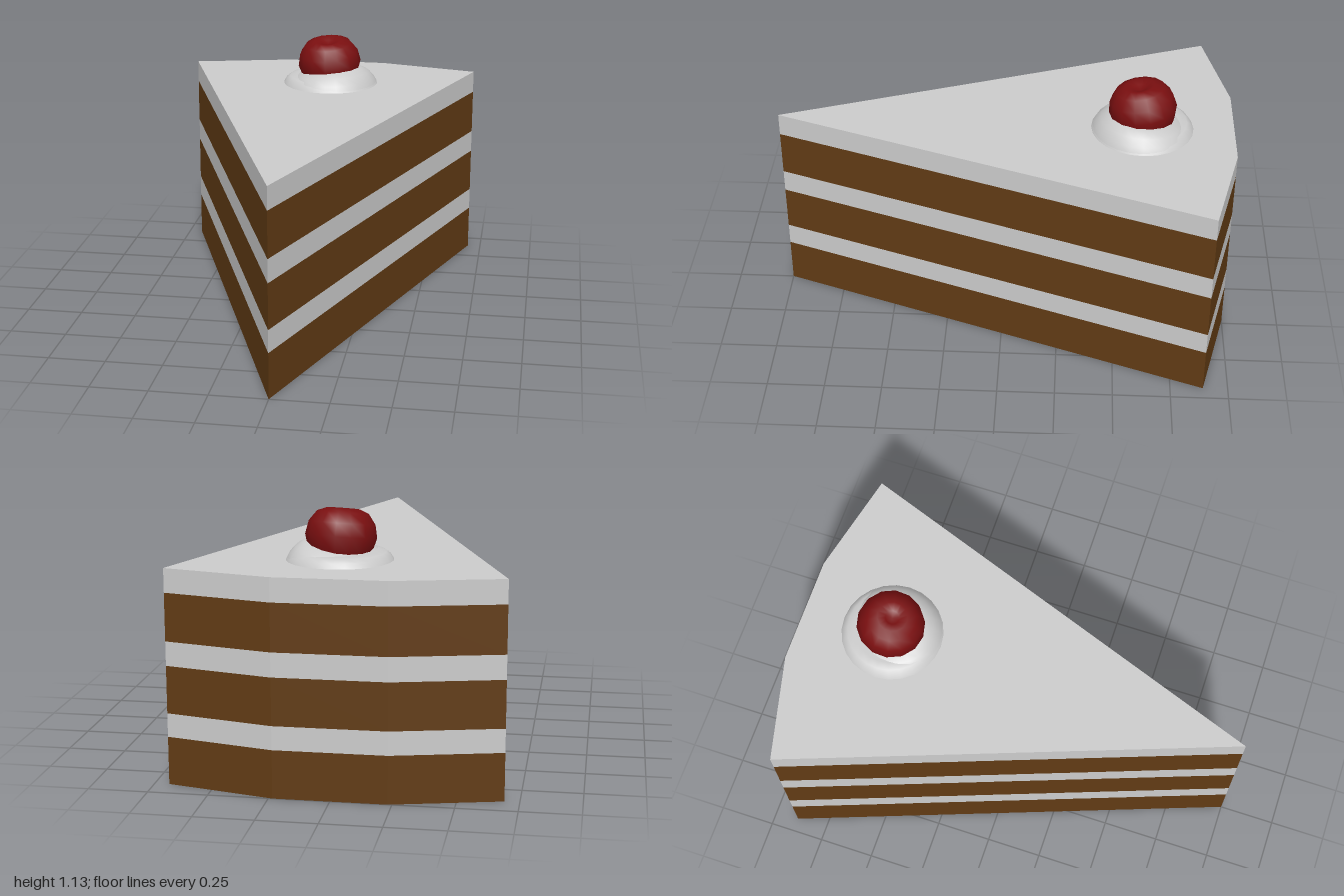
import * as THREE from 'three';
import { mergeVertices } from 'three/addons/utils/BufferGeometryUtils.js';

const material = (color) => new THREE.MeshStandardMaterial({ color });

// Wedge outline: a 40 degree slice with its tip at the front and three flat facets at the back
function wedgeShape() {
  const step = Math.PI * 2 / 27, radius = 2 / Math.cos(step / 2);
  const points = [new THREE.Vector2(0, -1)];
  for (let i = -1.5; i <= 1.5; i++) {
    const a = -i * step;
    points.push(new THREE.Vector2(Math.sin(a) * radius, -1 + Math.cos(a) * radius));
  }
  return new THREE.Shape(points);
}

// Smooth turned solid, optionally reshaped by a rule for each vertex
function turned(profile, segments, rule) {
  const geometry = new THREE.LatheGeometry(profile.map(([r, y]) => new THREE.Vector2(r, y)), segments);
  geometry.deleteAttribute('uv');
  geometry.deleteAttribute('normal');
  const p = geometry.attributes.position;
  const v = new THREE.Vector3();
  for (let i = 0; rule && i < p.count; i++) {
    rule(v.fromBufferAttribute(p, i));
    p.setXYZ(i, v.x, v.y, v.z);
  }
  const welded = mergeVertices(geometry, 1e-4);
  welded.computeVertexNormals();
  return welded;
}

export function createModel() {
  const group = new THREE.Group();
  const sponge = material(0x613b14), cream = material(0xcccccc), red = material(0x7a0f10);
  const add = (name, geometry, mat, x, y, z) => {
    const mesh = new THREE.Mesh(geometry, mat);
    mesh.name = name;
    mesh.position.set(x, y, z);
    group.add(mesh);
    return mesh;
  };

  // Alternating sponge and cream layers
  const shape = wedgeShape();
  const levels = [0, 0.203, 0.303, 0.503, 0.605, 0.806, 0.907];
  for (let i = 0; i < 6; i++) {
    const layer = new THREE.ExtrudeGeometry(shape, { depth: levels[i + 1] - levels[i], bevelEnabled: false });
    layer.rotateX(-Math.PI / 2);
    add(i % 2 ? 'creamLayer' : 'spongeLayer', layer, i % 2 ? cream : sponge, 0, levels[i], 0);
  }

  // Piped cream: a low ring, and a swirl on it that rises and widens towards the front left
  add('creamBase', turned([[0.223, 0], [0.21, 0.022], [0.192, 0.035], [0.16, 0.04], [0, 0.04]], 24),
    cream, 0.023, 0.906, -0.6);
  add('creamSwirl', turned([[0.222, 0], [0.208, 0.026], [0.182, 0.052], [0.15, 0.069], [0.115, 0.075], [0, 0.075]], 24,
    (v) => {
      const r = Math.hypot(v.x, v.z) || 1;
      const lean = (v.x * 0.8 + v.z * 0.6) / r;
      const width = 1 - 0.13 * THREE.MathUtils.smoothstep(-lean, -0.3, 0.8);
      v.set(v.x * width, v.y * (0.9 + 0.28 * lean), v.z * width);
    }), cream, 0.023, 0.906, -0.6);

  // Cherry with a dimpled top, leaning slightly
  const cherry = add('cherry', turned([
    [0, -0.135], [0.08, -0.12], [0.128, -0.07], [0.148, 0], [0.137, 0.055],
    [0.106, 0.098], [0.065, 0.114], [0.03, 0.102], [0, 0.09],
  ], 14), red, 0.018, 1.002, -0.598);
  cherry.rotation.set(0.16, 0, 0.05);

  return group;
}
